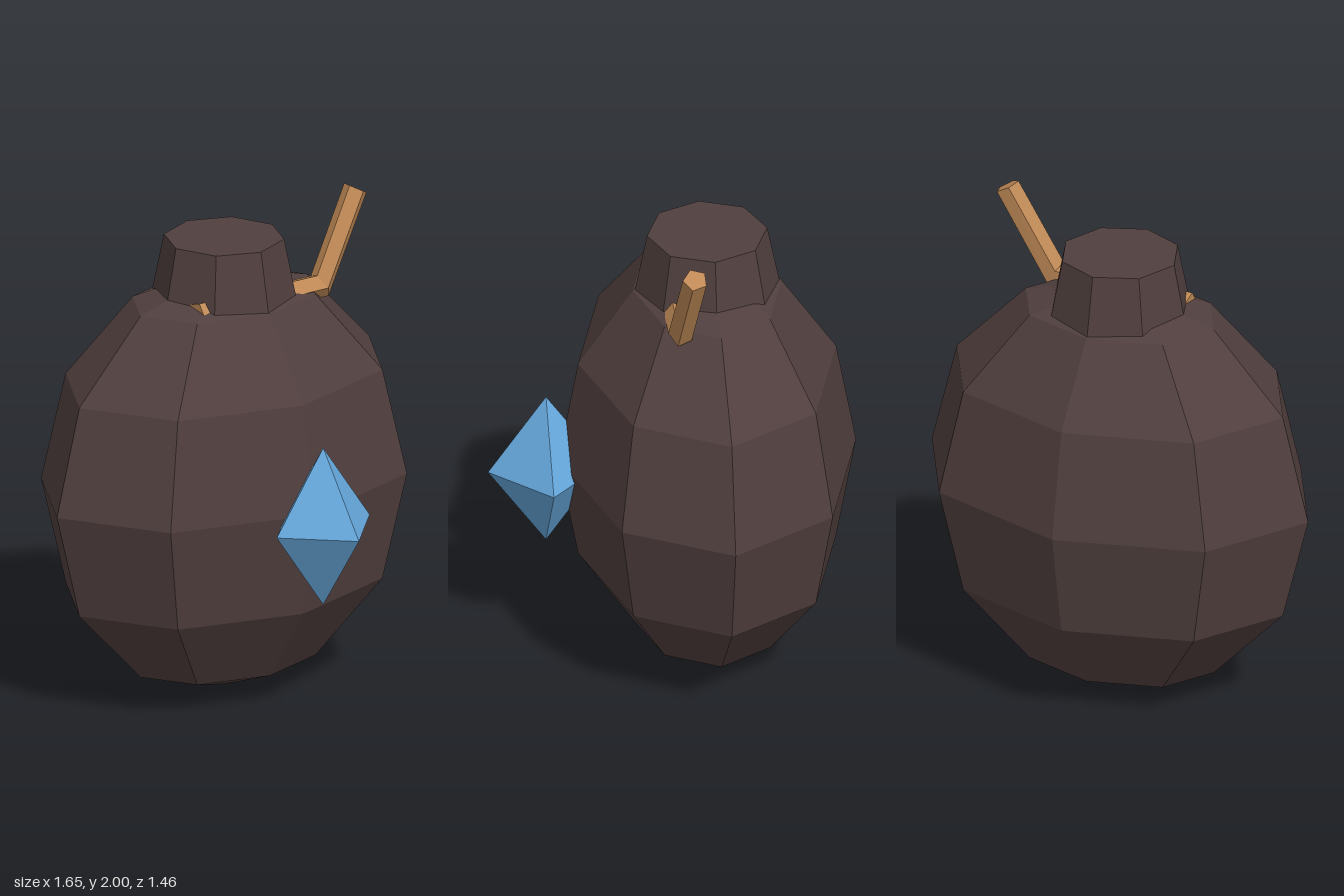
import * as THREE from 'three';

function flat(name, color) {
  const m = new THREE.MeshStandardMaterial({ color, flatShading: true });
  m.name = name;
  return m;
}

// Five-sided bent rod: one mitred ring at each point of a path in the xy plane
function bentRod(path, radius, sides = 5) {
  const pos = [], index = [];
  path.forEach((p, i) => {
    const dirIn = p.clone().sub(path[Math.max(i - 1, 0)]).setZ(0).normalize();
    const dirOut = path[Math.min(i + 1, path.length - 1)].clone().sub(p).setZ(0).normalize();
    const t = dirIn.clone().add(dirOut).normalize();
    const stretch = 1 / t.dot(dirOut.lengthSq() ? dirOut : dirIn);
    for (let k = 0; k < sides; k++) {
      const a = (k / sides) * Math.PI * 2;
      const b = Math.sin(a) * radius * stretch;
      pos.push(p.x - t.y * b, p.y + t.x * b, p.z + Math.cos(a) * radius);
    }
  });
  for (let i = 0; i < path.length - 1; i++) {
    for (let k = 0; k < sides; k++) {
      const a = i * sides + k, b = i * sides + (k + 1) % sides;
      index.push(a, a + sides, b, b, a + sides, b + sides);
    }
  }
  // End caps
  const last = (path.length - 1) * sides;
  for (let k = 1; k < sides - 1; k++) {
    index.push(0, k, k + 1, last, last + k + 1, last + k);
  }
  const g = new THREE.BufferGeometry();
  g.setAttribute('position', new THREE.Float32BufferAttribute(pos, 3));
  g.setIndex(index);
  const out = g.toNonIndexed();
  out.computeVertexNormals();
  return out;
}

export function createModel() {
  const group = new THREE.Group();
  const shell = flat('dark brown shell', 0x503f3e);
  const wood = flat('light wood', 0xc08a56);
  const blue = flat('blue gem', 0x66a8dc);

  const add = (name, geometry, material, x = 0, y = 0, z = 0) => {
    const mesh = new THREE.Mesh(geometry, material);
    mesh.name = name;
    mesh.position.set(x, y, z);
    group.add(mesh);
    return mesh;
  };

  // Flattened faceted body and its tapered neck
  add('body', new THREE.SphereGeometry(1, 8, 6).scale(0.827, 0.866, 0.59), shell, 0, 0.866, -0.138);
  add('neck', new THREE.CylinderGeometry(0.238, 0.29, 0.26, 8), shell, 0, 1.73, -0.138);

  // Diamond on the front
  add('gem', new THREE.OctahedronGeometry(1).scale(0.23, 0.326, 0.23), blue, 0, 0.832, 0.5);

  // Bent stick running through the neck and up on the left
  add('stick', bentRod([
    new THREE.Vector3(-0.24, 1.625, 0.0),
    new THREE.Vector3(0.36, 1.625, 0.015),
    new THREE.Vector3(0.557, 1.977, -0.015),
  ], 0.05), wood);

  return group;
}
